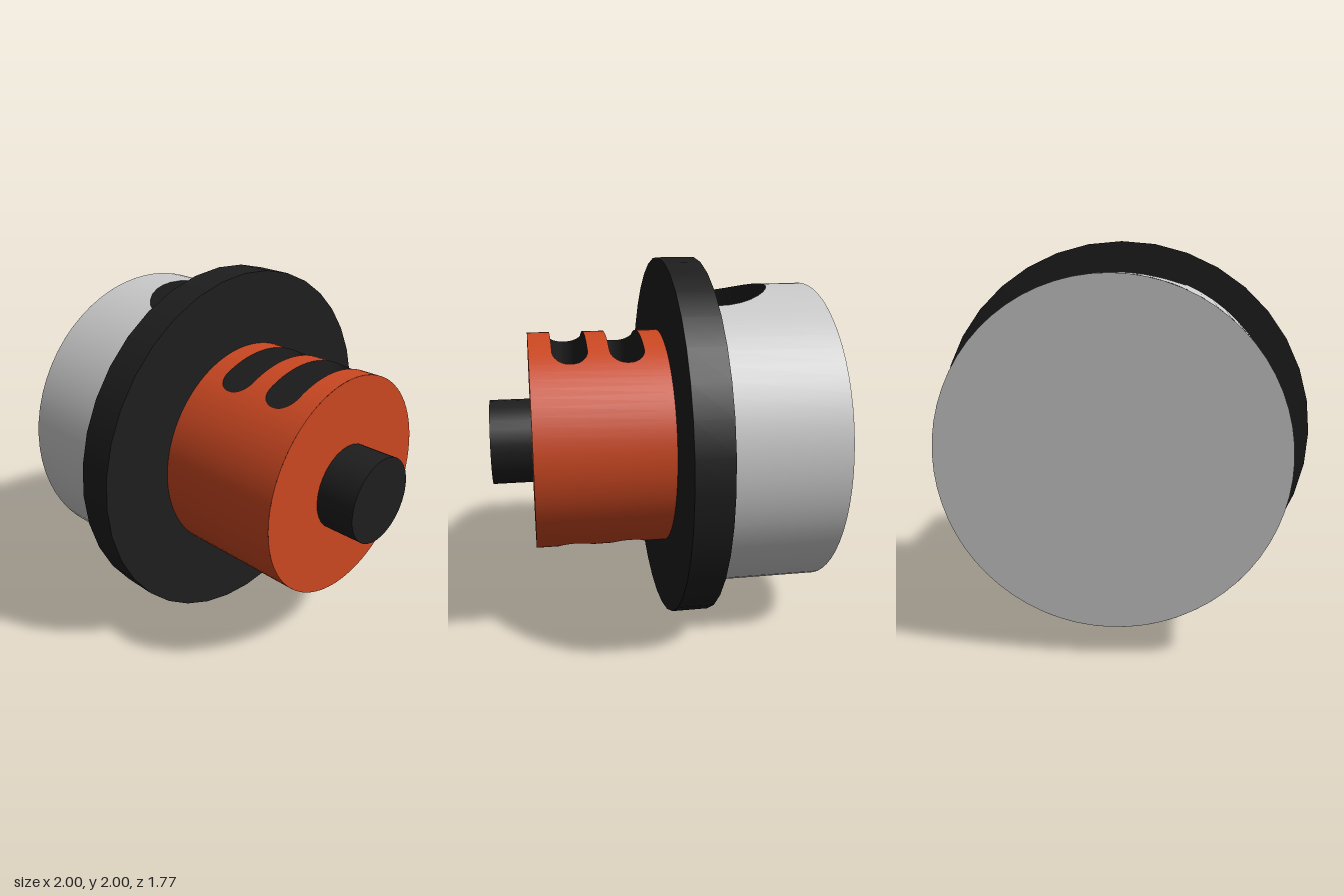
import * as THREE from 'three';
import { ParametricGeometry } from 'three/addons/geometries/ParametricGeometry.js';

const W = 0.34; // half width of every opening
const orange = new THREE.MeshStandardMaterial({ color: 0xcc4822, side: THREE.DoubleSide });
const black = new THREE.MeshStandardMaterial({ color: 0x1e1e1e, side: THREE.DoubleSide });
const grey = new THREE.MeshStandardMaterial({ color: 0xcccccc, side: THREE.DoubleSide });

function add(parent, name, geometry, material) {
  const mesh = new THREE.Mesh(geometry, material);
  mesh.name = name;
  parent.add(mesh);
  return mesh;
}

// Solid cylinder lying along z
function disc(parent, name, r, z0, z1, segments, material) {
  const g = new THREE.CylinderGeometry(r, r, z1 - z0, segments);
  g.rotateX(Math.PI / 2).translate(0, 0, (z0 + z1) / 2);
  return add(parent, name, g, material);
}

// Column position across an opening, closer together near its ends
const column = (v) => W * Math.sin((v - 0.5) * Math.PI);

// Piece of cylinder skin between two z edges, with radial normals
function skin(r, angleAt, back, front, columns) {
  const g = new ParametricGeometry((u, v, p) => {
    const a = angleAt(v);
    const x = r * Math.sin(a);
    p.set(x, r * Math.cos(a), THREE.MathUtils.lerp(back(x), front(x), u));
  }, 1, columns);
  const pos = g.attributes.position;
  for (let i = 0; i < pos.count; i++) {
    g.attributes.normal.setXYZ(i, pos.getX(i) / r, pos.getY(i) / r, 0);
  }
  return g;
}

// Drum pierced from top to bottom; openings are [backEdge(x), frontEdge(x)], back to front
function piercedDrum(name, r, z0, z1, openings, columns, material) {
  const drum = new THREE.Group();
  drum.name = name;
  const zBack = () => z0, zFront = () => z1;
  const edge = Math.asin(W / r);
  const edges = [zBack, ...openings.flat(), zFront];
  const pieces = [skin(r, (v) => edge + v * (Math.PI - 2 * edge), zBack, zFront, 24)];
  for (let i = 0; i < edges.length; i += 2) {
    if (edges[i](0) === edges[i + 1](0)) continue;
    pieces.push(skin(r, (v) => Math.asin(column(v) / r), edges[i], edges[i + 1], columns));
  }
  for (const g of pieces) {
    add(drum, 'drumSkin', g, material);
    add(drum, 'drumSkin', g, material).rotation.z = Math.PI;
  }

  // Dark walls lining each opening
  const height = (x) => Math.sqrt(r * r - x * x);
  for (const [back, front] of openings) {
    for (const f of [back, front]) {
      if (f === zFront || f(0) === z1) continue;
      const wall = new ParametricGeometry((u, v, p) => {
        const x = column(v);
        p.set(x, (2 * u - 1) * height(x), f(x));
      }, 1, columns);
      wall.computeVertexNormals();
      add(drum, 'openingWall', wall, black);
    }
    for (const x of [-W, W]) {
      const end = new THREE.PlaneGeometry(front(x) - back(x), 2 * height(x));
      end.rotateY(-Math.sign(x) * Math.PI / 2).translate(x, 0, (front(x) + back(x)) / 2);
      add(drum, 'openingEnd', end, black);
    }
  }
  return drum;
}

// Slot with rounded corners centred at z = c
function slot(c) {
  const half = 0.0925, r = 0.085;
  const h = (x) => {
    const d = Math.min(r, Math.max(0, Math.abs(x) - (W - r)));
    return half - r + Math.sqrt(r * r - d * d);
  };
  return [(x) => c - h(x), (x) => c + h(x)];
}

export function createModel() {
  const model = new THREE.Group();
  const body = new THREE.Group();
  body.name = 'body';
  body.position.y = 1;
  model.add(body);

  disc(body, 'flange', 1, -0.25, -0.055, 36, black);
  disc(body, 'frontKnob', 0.235, 0.66, 0.885, 32, black);

  // Orange front drum with two slots
  const front = piercedDrum('frontDrum', 0.602, -0.055, 0.665,
    [slot(0.153), slot(0.452)], 32, orange);
  add(front, 'frontCap', new THREE.CircleGeometry(0.602, 64), orange).position.z = 0.665;
  body.add(front);

  // Grey rear drum with an arched opening beside the flange
  const arch = [(x) => -0.31 - Math.sqrt(Math.max(0, W * W - x * x)), () => -0.25];
  const rear = piercedDrum('rearDrum', 0.848, -0.885, -0.25, [arch], 16, grey);
  const cap = add(rear, 'rearCap', new THREE.CircleGeometry(0.848, 64), grey);
  cap.rotation.y = Math.PI;
  cap.position.z = -0.885;
  body.add(rear);

  return model;
}
